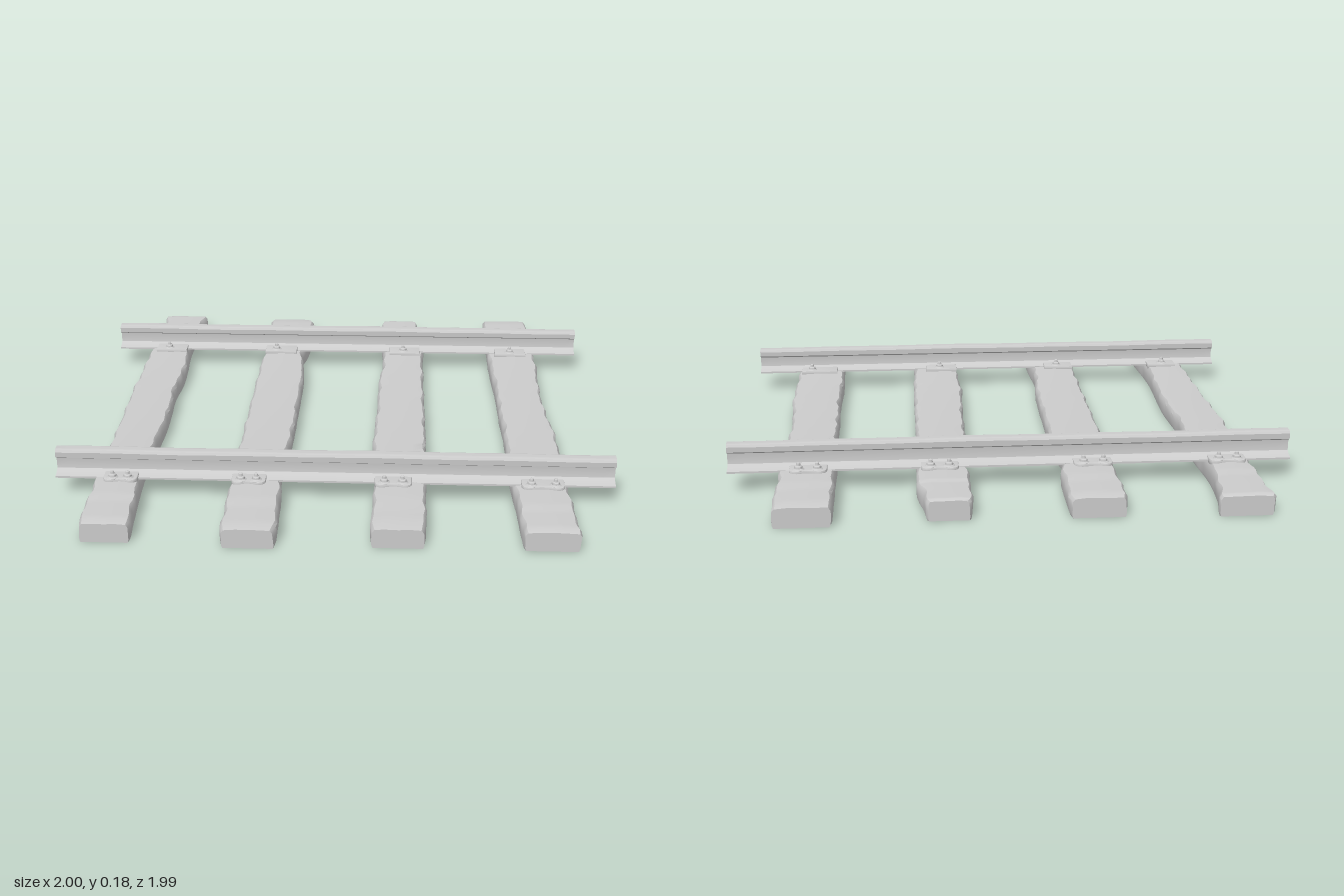
import * as THREE from 'three';
import { toCreasedNormals } from 'three/addons/utils/BufferGeometryUtils.js';

const material = new THREE.MeshStandardMaterial({ color: 0xcccccc });

function addMesh(parent, geometry, name, x = 0, y = 0, z = 0) {
  const mesh = new THREE.Mesh(geometry, material);
  mesh.name = name;
  mesh.position.set(x, y, z);
  parent.add(mesh);
  return mesh;
}

// Worn sleepers: outline stations [z, left edge x, right edge x]
const sleepers = [
  [[-1, -0.86, -0.665], [-0.9, -0.855, -0.685], [-0.7, -0.85, -0.7], [-0.5, -0.865, -0.69], [-0.35, -0.865, -0.685],
    [-0.2, -0.87, -0.695], [0.1, -0.865, -0.685], [0.5, -0.86, -0.7], [0.75, -0.855, -0.69], [0.97, -0.855, -0.675]],
  [[-0.98, -0.365, -0.168], [-0.7, -0.36, -0.17], [-0.54, -0.36, -0.195], [-0.45, -0.365, -0.178], [0, -0.37, -0.175],
    [0.3, -0.37, -0.18], [0.5, -0.37, -0.195], [0.7, -0.37, -0.185], [0.99, -0.37, -0.18]],
  [[-0.97, 0.16, 0.312], [-0.88, 0.155, 0.322], [-0.78, 0.155, 0.34], [-0.5, 0.165, 0.335], [-0.3, 0.15, 0.335],
    [0, 0.145, 0.335], [0.3, 0.135, 0.335], [0.55, 0.145, 0.33], [0.97, 0.135, 0.325]],
  [[-0.995, 0.622, 0.825], [-0.7, 0.625, 0.82], [-0.5, 0.625, 0.825], [-0.2, 0.635, 0.815], [0, 0.635, 0.82],
    [0.2, 0.64, 0.835], [0.5, 0.635, 0.832], [0.75, 0.645, 0.835], [0.97, 0.65, 0.845]],
];

// Cross-section across the sleeper: [fraction of width, fraction of height]
const section = [[0.02, 0], [0.98, 0], [1, 0.15], [1, 0.5], [0.995, 0.82], [0.95, 0.97],
  [0.75, 1], [0.5, 1], [0.25, 1], [0.05, 0.97], [0.005, 0.82], [0, 0.5], [0, 0.15]];

function sleeperGeometry(stations, seed) {
  const left = new THREE.CatmullRomCurve3(stations.map(([z, a]) => new THREE.Vector3(a, 0, z)));
  const right = new THREE.CatmullRomCurve3(stations.map(([z, , b]) => new THREE.Vector3(b, 0, z)));
  const z0 = stations[0][0], z1 = stations.at(-1)[0];
  const positions = [], index = [], steps = 72, n = section.length;
  for (let i = 0; i <= steps; i++) {
    const t = i / steps;
    const a = left.getPoint(t), b = right.getPoint(t);
    const end = i === 0 || i === steps;
    const inset = end ? 0.006 : 0;
    // Slight sag between the rails, plus gentle weathering
    const z = a.z;
    const height = 0.072 + 0.009 * Math.min(1, (z / 0.6) ** 2) - (Math.abs(z) > 0.8 ? 0.004 : 0) - inset;
    for (const [u, v] of section) {
      const side = u < 0.1 ? -1 : u > 0.9 ? 1 : 0;
      const wear = side * 0.003 * v * (Math.sin(z * 31 + seed * 2 + side) + Math.sin(z * 57 + seed * 5 + v * 2));
      const grain = v > 0.9 ? 0.001 * Math.sin(z * 17 + u * 9 + seed * 3) : 0;
      positions.push(THREE.MathUtils.lerp(a.x + inset, b.x - inset, u) + wear, v * height + grain, z);
    }
  }
  for (let i = 0; i < steps; i++) {
    for (let j = 0; j < n; j++) {
      const a = i * n + j, b = i * n + (j + 1) % n;
      index.push(a, b, b + n, a, b + n, a + n);
    }
  }
  // End caps
  const c = positions.length / 3, last = steps * n;
  for (const [k, z] of [[0, z0], [last, z1]]) {
    positions.push((positions[k * 3] + positions[(k + 1) * 3]) / 2, 0.036, z);
  }
  for (let j = 0; j < n; j++) {
    const k = (j + 1) % n;
    index.push(c, k, j, c + 1, last + j, last + k);
  }
  const geometry = new THREE.BufferGeometry();
  geometry.setAttribute('position', new THREE.Float32BufferAttribute(positions, 3));
  geometry.setIndex(index);
  return toCreasedNormals(geometry, 0.7);
}

// Rail: half profile [half width, y], mirrored and extruded along x
function railGeometry() {
  const half = [[0.045, 0.074], [0.045, 0.081], [0.02, 0.088], [0.009, 0.097], [0.007, 0.115],
    [0.009, 0.136], [0.023, 0.144], [0.024, 0.164], [0.019, 0.172], [0.01, 0.175]];
  const outline = [...half, ...half.map(([w, y]) => [-w, y]).reverse()];
  const shape = new THREE.Shape(outline.map(([w, y]) => new THREE.Vector2(w, y)));
  const geometry = new THREE.ExtrudeGeometry(shape, { depth: 2, steps: 50, bevelEnabled: false });
  geometry.translate(0, 0, -1).rotateY(Math.PI / 2);
  // Uneven wear on the running surface
  const p = geometry.attributes.position;
  for (let i = 0; i < p.count; i++) {
    if (p.getY(i) > 0.16) p.setY(i, p.getY(i) + 0.0015 * Math.sin(p.getX(i) * 9) * Math.sin(p.getX(i) * 4 + 1));
  }
  return toCreasedNormals(geometry, 0.6);
}

// Base plate lying on a sleeper, with rounded lobes toward the outside of the track
function plateGeometry(width) {
  const w = width / 2;
  const s = new THREE.Shape();
  s.moveTo(-w, -0.08);
  s.lineTo(w, -0.08);
  s.lineTo(w, 0.055);
  s.quadraticCurveTo(w, 0.08, w - 0.025, 0.08);
  s.quadraticCurveTo(0, 0.065, -w + 0.025, 0.08);
  s.quadraticCurveTo(-w, 0.08, -w, 0.055);
  s.closePath();
  const geometry = new THREE.ExtrudeGeometry(s, {
    depth: 0.012, bevelSize: 0.004, bevelThickness: 0.004, bevelSegments: 2, curveSegments: 6,
  });
  return toCreasedNormals(geometry.rotateX(-Math.PI / 2).rotateY(Math.PI), 0.6);
}

// Bolt: washer, nut and domed stud in one turned profile
const boltProfile = [[0.021, 0], [0.021, 0.006], [0.015, 0.011], [0.014, 0.018], [0.008, 0.021], [0.007, 0.03], [0, 0.033]]
  .map(([r, y]) => new THREE.Vector2(r, y));

// Bolt positions per sleeper: [outer bolt xs, inner bolt xs]
const tracks = [
  { name: 'frontRail', z: 0.605, side: 1, bolts: [
    [[-0.79, -0.735], [-0.765]], [[-0.33, -0.275], [-0.295]], [[0.18, 0.245], [0.22]], [[0.7, 0.785], [0.775]]] },
  { name: 'backRail', z: -0.625, side: -1, bolts: [
    [[-0.8, -0.735], [-0.78]], [[-0.32, -0.25], [-0.305]], [[0.225, 0.29], [0.25]], [[0.685, 0.75], [0.715]]] },
];

export function createModel() {
  const model = new THREE.Group();
  model.name = 'railwayTrack';

  sleepers.forEach((stations, i) => addMesh(model, sleeperGeometry(stations, i + 1), `sleeper${i + 1}`));

  const rail = railGeometry();
  const bolt = toCreasedNormals(new THREE.LatheGeometry(boltProfile, 12), 0.7);
  for (const { name, z, side, bolts } of tracks) {
    addMesh(model, rail, name, 0, 0, z);
    bolts.forEach(([outer, inner], i) => {
      const fastening = new THREE.Group();
      fastening.name = `${name}Fastening${i + 1}`;
      model.add(fastening);
      const middle = (outer[0] + outer[1]) / 2;
      const plate = addMesh(fastening, plateGeometry(outer[1] - outer[0] + 0.06), 'basePlate', middle, 0.074, z);
      plate.rotation.y = side > 0 ? 0 : Math.PI;
      for (const x of outer) addMesh(fastening, bolt, 'outerBolt', x, 0.084, z + side * 0.06);
      for (const x of inner) addMesh(fastening, bolt, 'innerBolt', x, 0.084, z - side * 0.058);
    });
  }
  return model;
}
